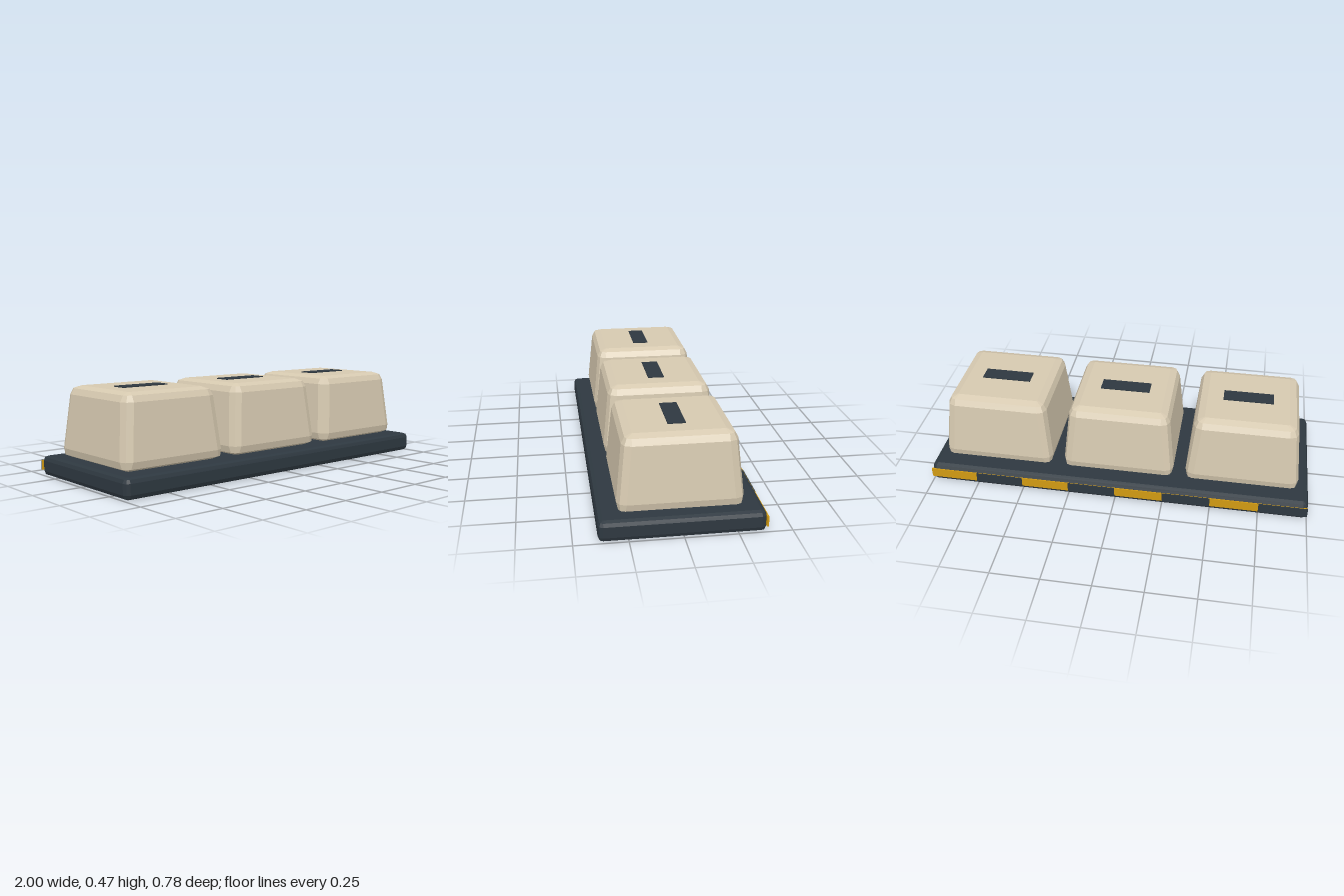
import * as THREE from 'three';

// Faceted rounded block from stacked rings; each ring is [y, inset, cornerRadius]
function ringBlock(halfX, halfZ, rings) {
  const loops = rings.map(([y, inset, r]) => {
    const w = halfX - inset, d = halfZ - inset, k = r * 0.29, pts = [];
    // corner points, counter-clockwise seen from above
    const quarter = [[0, r], [k, k], [r, 0]];
    [[1, 1], [1, -1], [-1, -1], [-1, 1]].forEach(([sx, sz]) => {
      const corner = quarter.map(([a, b]) => [sx * (w - a), y, sz * (d - b)]);
      if (sx * sz > 0) corner.reverse();
      pts.push(...corner);
    });
    return pts;
  });
  const n = 12, last = loops.length - 1, pos = [];
  const tri = (...p) => p.forEach(v => pos.push(...v));
  const bottom = [0, rings[0][0], 0], top = [0, rings[last][0], 0];
  for (let i = 0; i < n; i++) {
    const j = (i + 1) % n;
    for (let k = 0; k < last; k++) {
      const lo = loops[k], up = loops[k + 1];
      tri(lo[i], lo[j], up[j]);
      tri(lo[i], up[j], up[i]);
    }
    tri(bottom, loops[0][j], loops[0][i]);
    tri(top, loops[last][i], loops[last][j]);
  }
  const geo = new THREE.BufferGeometry();
  geo.setAttribute('position', new THREE.Float32BufferAttribute(pos, 3));
  geo.computeVertexNormals(); // unshared corners give flat facets
  return geo;
}

export function createModel() {
  const model = new THREE.Group();
  const material = (name, color) => {
    const m = new THREE.MeshStandardMaterial({ color });
    m.name = name;
    return m;
  };
  const slate = material('dark slate', 0x2e3840);
  const cream = material('cream', 0xd6c9b0);
  const amber = material('amber', 0xd19a12);

  const add = (name, geo, mat, x = 0, y = 0, z = 0) => {
    const mesh = new THREE.Mesh(geo, mat);
    mesh.name = name;
    mesh.position.set(x, y, z);
    model.add(mesh);
  };
  const box = (w, h, d) => new THREE.BoxGeometry(w, h, d);
  const midZ = 0.004;

  // Base slab with softened edges
  add('base', ringBlock(1, 0.384, [
    [0, 0.025, 0.006], [0.008, 0.007, 0.018], [0.025, 0, 0.025],
    [0.078, 0, 0.025], [0.095, 0.007, 0.018], [0.102, 0.025, 0.006],
  ]), slate, 0, 0, midZ);

  // Three tapered caps, each with a dark label plate
  const cap = ringBlock(0.293, 0.293, [
    [0.102, 0.04, 0.01], [0.116, 0.008, 0.03], [0.15, 0, 0.045],
    [0.42, 0.028, 0.045], [0.45, 0.044, 0.03], [0.463, 0.08, 0.008],
  ]);
  const label = box(0.26, 0.008, 0.084);
  [-0.65, 0, 0.65].forEach(x => {
    add('keyCap', cap, cream, x, 0, midZ);
    add('label', label, slate, x, 0.464, midZ);
  });

  // Amber strip along the back with dark blocks making a hazard pattern
  add('backStrip', box(2, 0.05, 0.009), amber, 0, 0.0525, -0.3815);
  const block = box(0.25, 0.051, 0.004);
  for (let i = 0; i < 4; i++) add('stripBlock', block, slate, -0.875 + i * 0.5, 0.0525, -0.3855);

  return model;
}
